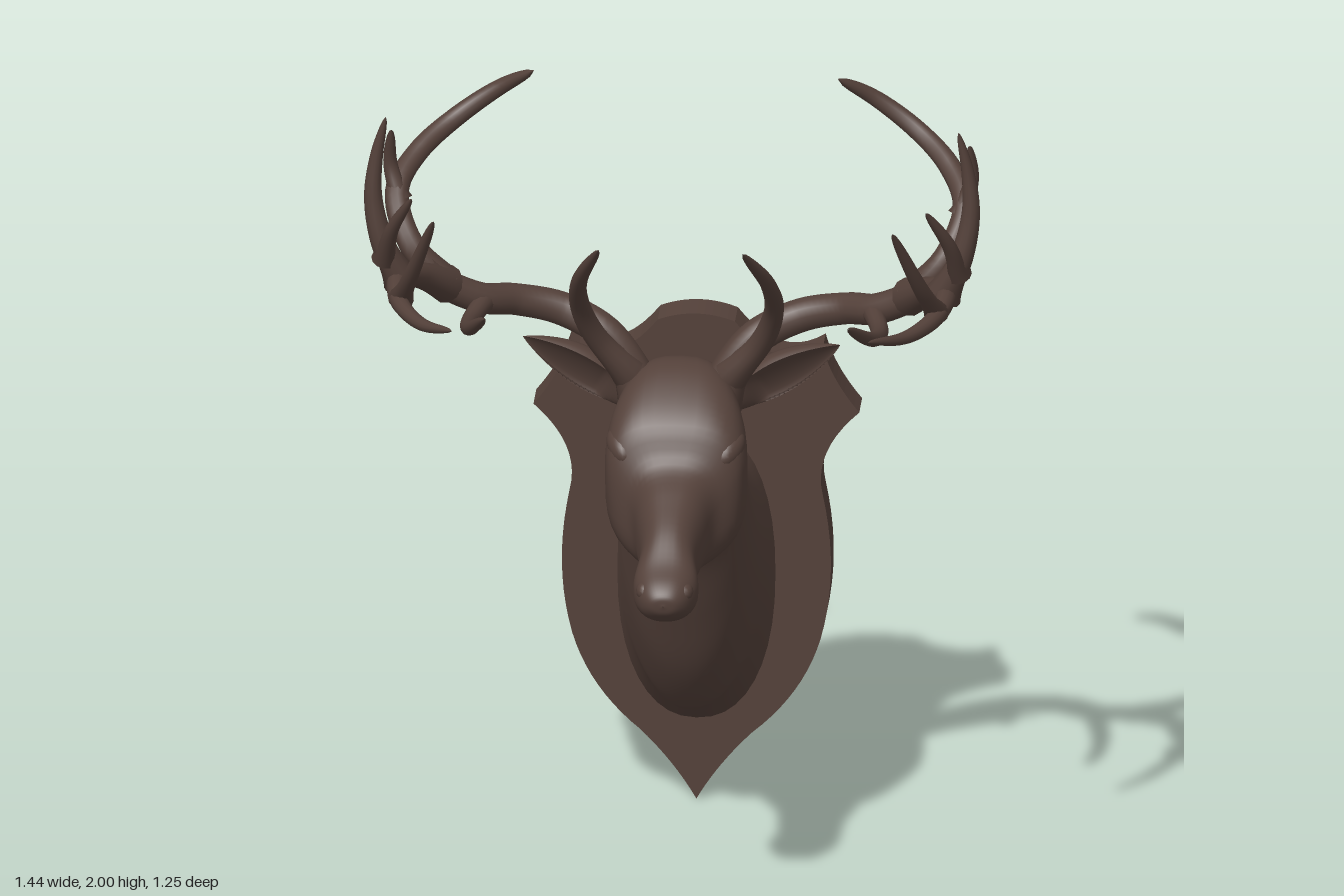
import * as THREE from 'three';

const V = (x, y, z) => new THREE.Vector3(x, y, z);
const brown = new THREE.MeshStandardMaterial({ color: 0x54413a });
brown.name = 'dark brown';

function part(name, geometry, parent) {
  const mesh = new THREE.Mesh(geometry, brown);
  mesh.name = name;
  parent.add(mesh);
  return mesh;
}

// Closed rings, point(u, angle), joined along u into one smooth skin
function loft(point, rings, sides) {
  const pos = [], idx = [];
  for (let i = 0; i <= rings; i++)
    for (let j = 0; j < sides; j++) pos.push(...point(i / rings, (j / sides) * Math.PI * 2).toArray());
  for (let i = 0; i < rings; i++)
    for (let j = 0; j < sides; j++) {
      const k = (j + 1) % sides;
      const a = i * sides + j, b = i * sides + k, c = a + sides, d = b + sides;
      idx.push(a, b, d, a, d, c);
    }
  const g = new THREE.BufferGeometry();
  g.setAttribute('position', new THREE.Float32BufferAttribute(pos, 3));
  g.setIndex(idx);
  g.computeVertexNormals();
  return g;
}

// Tube narrowing from r0 to r1 with a rounded tip, flared where it joins
function taperedTube(points, r0, r1) {
  const n = 40, sides = 12;
  const curve = new THREE.CatmullRomCurve3(points);
  const g = new THREE.TubeGeometry(curve, n, 1, sides);
  const p = g.attributes.position, v = V(0, 0, 0);
  for (let i = 0; i <= n; i++) {
    const t = i / n, c = curve.getPointAt(t);
    const tip = r1 < 0.03 ? Math.sqrt(Math.max(0.001, 1 - t ** 10)) : 1;
    const r = (r0 + (r1 - r0) * t) * tip * (1 + 0.35 * Math.max(0, 1 - t / 0.2) ** 2);
    for (let j = 0; j <= sides; j++) {
      const k = i * (sides + 1) + j;
      v.fromBufferAttribute(p, k).sub(c).multiplyScalar(r).add(c);
      p.setXYZ(k, v.x, v.y, v.z);
    }
  }
  return g;
}

// Shield-shaped plaque with a shallow dished back
function plaqueGeometry() {
  const s = new THREE.Shape();
  s.moveTo(0, 0);
  const half = (m) => [
    [0.05 * m, 0.09, 0.13 * m, 0.17], [0.25 * m, 0.27, 0.29 * m, 0.41],
    [0.335 * m, 0.58, 0.295 * m, 0.77], [0.27 * m, 0.88, 0.38 * m, 0.98],
    [0.315 * m, 1.06, 0.295 * m, 1.14], [0.19 * m, 1.07, 0.09 * m, 1.2],
  ];
  const right = half(1), left = half(-1);
  right.forEach((c) => s.quadraticCurveTo(...c));
  s.quadraticCurveTo(0, 1.235, -0.09, 1.2);
  // walk back down the other side
  for (let i = left.length - 1; i >= 0; i--) {
    const end = i ? left[i - 1].slice(2) : [0, 0];
    s.quadraticCurveTo(left[i][0], left[i][1], ...end);
  }
  const outline = s.getPoints(10);
  outline.pop();
  // outline scale and z, from the dished floor round to the front face
  const rings = [[0.001, -0.585], [0.85, -0.59], [0.97, -0.625], [1, -0.625], [1, -0.535], [0.001, -0.535]];
  const g = loft((u, a) => {
    const [k, z] = rings[Math.round(u * (rings.length - 1))];
    const p = outline[Math.round((a / (Math.PI * 2)) * outline.length)];
    return V(p.x * k, 0.65 + (p.y - 0.65) * k, z);
  }, rings.length - 1, outline.length).toNonIndexed();
  g.computeVertexNormals();
  return g;
}

// Neck and head: [top z, top y, bottom z, bottom y, half width, top-heaviness, corner roundness]
const sections = [
  [-0.54, 0.94, -0.54, 0.2, 0.185, 0, 0.88], [-0.42, 0.96, -0.42, 0.285, 0.174, 0.06, 0.92],
  [-0.3, 1.02, -0.33, 0.31, 0.162, 0.12, 0.95], [-0.22, 1.09, -0.22, 0.44, 0.153, 0.1, 0.92],
  [-0.165, 1.17, -0.14, 0.61, 0.144, 0.05, 0.88], [-0.13, 1.25, -0.07, 0.77, 0.137, 0, 0.82],
  [-0.07, 1.3, 0, 0.855, 0.138, 0, 0.74], [0, 1.31, 0.06, 0.87, 0.15, 0, 0.68],
  [0.08, 1.275, 0.11, 0.87, 0.166, 0, 0.66], [0.155, 1.215, 0.17, 0.87, 0.152, 0.08, 0.68],
  [0.2, 1.135, 0.24, 0.867, 0.1, 0.08, 0.76], [0.28, 1.09, 0.3, 0.86, 0.078, 0.03, 0.8],
  [0.37, 1.04, 0.36, 0.85, 0.066, 0, 0.82], [0.44, 0.985, 0.42, 0.842, 0.076, 0, 0.82],
  [0.49, 0.955, 0.475, 0.852, 0.06, 0, 0.86], [0.515, 0.93, 0.51, 0.88, 0.034, 0, 0.9],
  [0.519, 0.908, 0.519, 0.904, 0.002, 0, 0.9],
];

function headGeometry() {
  const spline = (pts) => new THREE.CatmullRomCurve3(pts, false, 'catmullrom', 0.5);
  const top = spline(sections.map((s) => V(s[4], s[1], s[0])));
  const bottom = spline(sections.map((s) => V(s[5], s[3], s[2])));
  const roundness = spline(sections.map((s) => V(s[6], 0, 0)));
  return loft((u, a) => {
    const t = top.getPoint(u), b = bottom.getPoint(u), e = roundness.getPoint(u).x;
    const soft = (n) => Math.sign(n) * Math.abs(n) ** e;
    const c = soft(Math.cos(a)), s = soft(Math.sin(a)), k = (s + 1) / 2;
    return V(Math.max(t.x, 0.001) * c * (1 + b.x * s), b.y + (t.y - b.y) * k, b.z + (t.z - b.z) * k);
  }, 80, 40);
}

// Cupped, leaf-shaped ear opening forward and outward
function earGeometry(m) {
  const base = V(0.12 * m, 1.205, -0.055), axis = V(0.365 * m, 1.345, -0.08).sub(base);
  const dir = axis.clone().normalize();
  const front = V(0.5 * m, -0.45, 0.9);
  front.addScaledVector(dir, -front.dot(dir)).normalize();
  const across = front.clone().cross(dir);
  return loft((u, a) => {
    const w = 0.062 * Math.max(0.001, Math.sin(Math.PI * (0.15 + 0.85 * u))) ** 0.85;
    const s = Math.sin(a), cup = u < 0.25 ? 1 - u * 6.4 : -0.6;
    const depth = s > 0 ? 0.5 * cup * s : 0.95 * s;
    return base.clone().addScaledVector(axis, u)
      .addScaledVector(across, w * Math.cos(a)).addScaledVector(front, w * depth + 0.015);
  }, 24, 20);
}

// Antler branches: name, start radius, end radius, path
const branches = [
  ['antlerBeam', 0.045, 0.034, [[0.085, 1.2, -0.02], [0.12, 1.29, -0.03], [0.18, 1.365, -0.045], [0.28, 1.41, -0.07], [0.385, 1.44, -0.045], [0.46, 1.465, 0.015], [0.54, 1.51, 0.05], [0.59, 1.555, 0.08]]],
  ['frontBeam', 0.034, 0.011, [[0.54, 1.51, 0.045], [0.6, 1.565, 0.13], [0.637, 1.595, 0.23], [0.625, 1.592, 0.37], [0.565, 1.592, 0.5], [0.485, 1.625, 0.62]]],
  ['rearBeam', 0.032, 0.02, [[0.54, 1.51, 0.05], [0.625, 1.61, 0.04], [0.662, 1.705, -0.04], [0.62, 1.765, -0.14], [0.54, 1.82, -0.22], [0.44, 1.89, -0.24], [0.355, 1.95, -0.205]]],
  ['browTine', 0.032, 0.013, [[0.12, 1.28, -0.01], [0.19, 1.37, 0.015], [0.225, 1.47, 0.07], [0.22, 1.58, 0.17], [0.168, 1.7, 0.28]]],
  ['middleTine', 0.024, 0.014, [[0.45, 1.46, 0], [0.478, 1.46, 0.15], [0.467, 1.5, 0.29], [0.425, 1.575, 0.42]]],
  ['tallTine', 0.034, 0.01, [[0.63, 1.59, 0.23], [0.675, 1.69, 0.24], [0.697, 1.8, 0.235], [0.69, 1.9, 0.23], [0.668, 2.0, 0.23]]],
  ['sideTine', 0.023, 0.009, [[0.67, 1.65, 0.245], [0.65, 1.74, 0.29], [0.6, 1.84, 0.34]]],
  ['frontTine', 0.023, 0.01, [[0.625, 1.59, 0.34], [0.595, 1.68, 0.42], [0.535, 1.86, 0.525]]],
  ['rearTine', 0.023, 0.01, [[0.655, 1.69, -0.03], [0.678, 1.77, -0.052], [0.675, 1.86, -0.035]]],
];

export function createModel() {
  const model = new THREE.Group();
  model.name = 'mountedDeerHead';
  part('plaque', plaqueGeometry(), model);
  part('headAndNeck', headGeometry(), model);

  for (const m of [1, -1]) {
    const side = m > 0 ? 'left' : 'right';
    part(side + 'Ear', earGeometry(m), model);

    // Brow bulge over the eye, and nostril
    const eye = part(side + 'Brow', new THREE.SphereGeometry(1, 20, 14), model);
    eye.scale.set(0.03, 0.034, 0.055);
    eye.position.set(0.128 * m, 1.15, 0.13);
    eye.rotation.set(0.45, -0.35 * m, 0);
    const nostril = part(side + 'Nostril', new THREE.SphereGeometry(1, 14, 10), model);
    nostril.scale.set(0.022, 0.024, 0.03);
    nostril.position.set(0.045 * m, 0.925, 0.465);

    const antler = new THREE.Group();
    antler.name = side + 'Antler';
    for (const [name, r0, r1, path] of branches)
      part(name, taperedTube(path.map(([x, y, z]) => V(x * m, y, z)), r0, r1), antler);
    model.add(antler);
  }
  return model;
}
